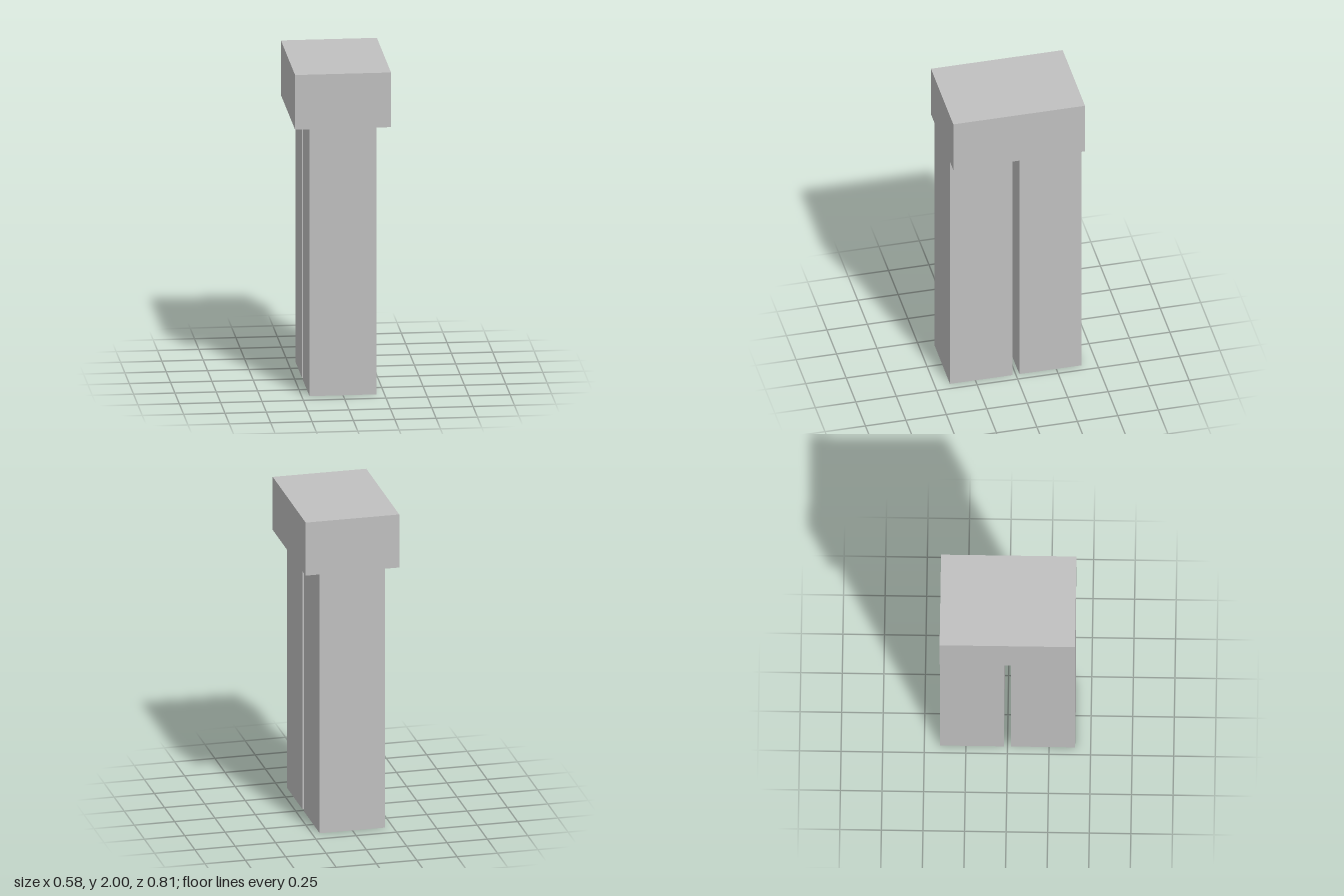
import * as THREE from 'three';

export function createModel() {
  const model = new THREE.Group();
  model.name = 'pillarBlock';
  const grey = new THREE.MeshStandardMaterial({ color: 0xc0c0c0 });
  grey.name = 'plain grey';

  const halfDepth = 0.407, halfGap = 0.022, capBottom = 1.66;

  function addBox(name, width, y0, y1, z0, z1) {
    const mesh = new THREE.Mesh(new THREE.BoxGeometry(width, y1 - y0, z1 - z0), grey);
    mesh.position.set(0, (y0 + y1) / 2, (z0 + z1) / 2);
    mesh.name = name;
    model.add(mesh);
  }

  // Wide cap across the top
  addBox('cap', 0.58, capBottom, 2, -halfDepth, halfDepth);

  // Two posts flush with the cap's ends, with a narrow slot between them
  addBox('frontPost', 0.406, 0, capBottom, halfGap, halfDepth);
  addBox('backPost', 0.406, 0, capBottom, -halfDepth, -halfGap);

  return model;
}
